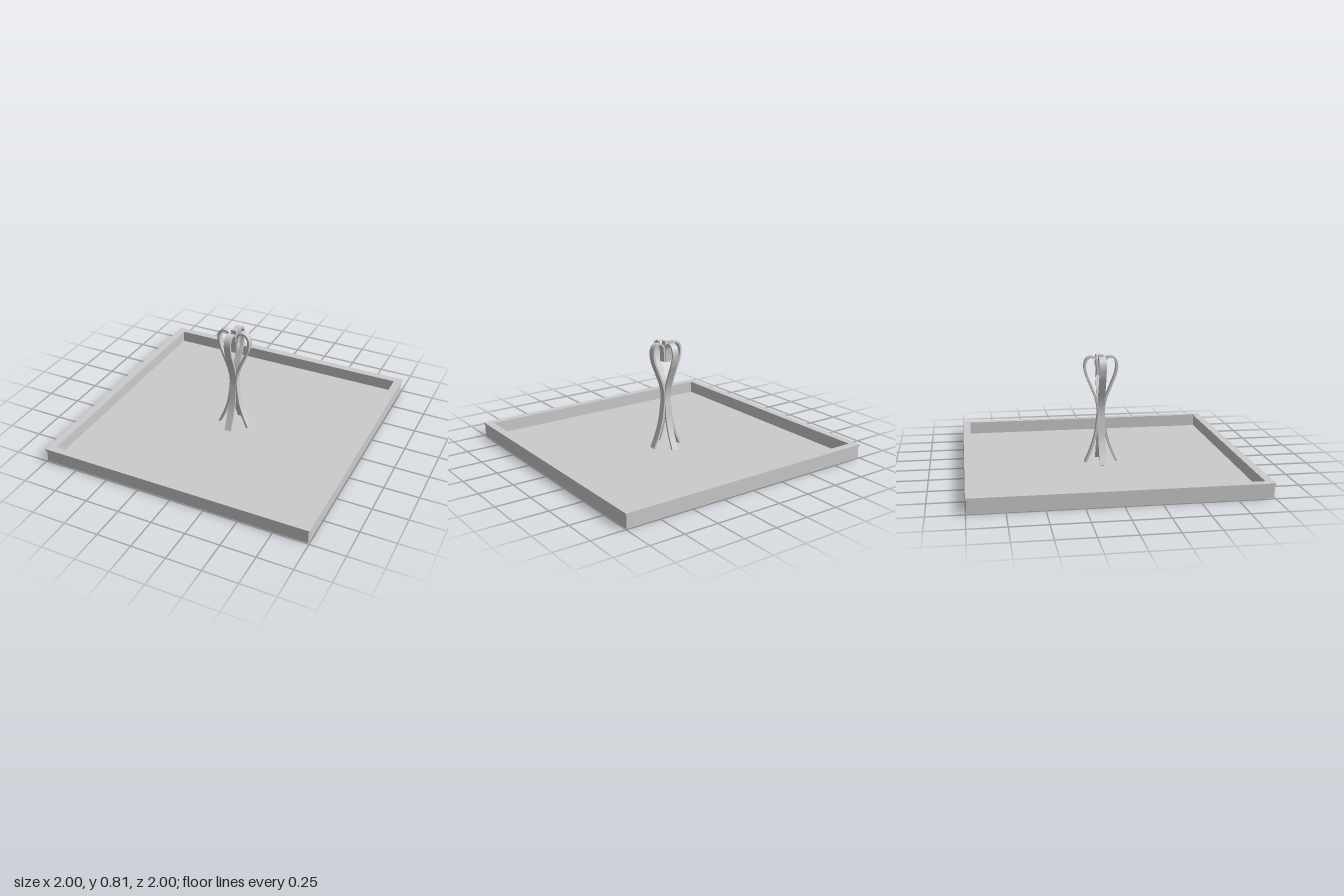
import * as THREE from 'three';
import { toCreasedNormals } from 'three/addons/utils/BufferGeometryUtils.js';

const material = new THREE.MeshStandardMaterial({ color: 0xcccccc });

function addMesh(parent, name, geometry) {
  const mesh = new THREE.Mesh(geometry, material);
  mesh.name = name;
  parent.add(mesh);
  return mesh;
}

// Square frame with an open middle, standing from y0 to y1
function frame(outer, inner, y0, y1) {
  const square = (Type, r) => new Type([[-r, -r], [r, -r], [r, r], [-r, r]].map(p => new THREE.Vector2(...p)));
  const shape = square(THREE.Shape, outer);
  shape.holes.push(square(THREE.Path, inner));
  const geometry = new THREE.ExtrudeGeometry(shape, { depth: y1 - y0, bevelEnabled: false });
  return geometry.rotateX(-Math.PI / 2).translate(0, y0, 0);
}

// Flat strip of constant thickness following a curve in the xy plane
function ribbon(points, thickness, width, steps) {
  const curve = new THREE.CatmullRomCurve3(points.map(([x, y]) => new THREE.Vector3(x, y, 0)));
  const sideA = [], sideB = [];
  for (let i = 0; i <= steps; i++) {
    const p = curve.getPointAt(i / steps);
    const t = curve.getTangentAt(i / steps);
    const nx = -t.y * thickness / 2, ny = t.x * thickness / 2;
    sideA.push(new THREE.Vector2(p.x + nx, p.y + ny));
    sideB.unshift(new THREE.Vector2(p.x - nx, p.y - ny));
  }
  const shape = new THREE.Shape([...sideA, ...sideB]);
  const geometry = new THREE.ExtrudeGeometry(shape, { depth: width, bevelEnabled: false });
  return toCreasedNormals(geometry.translate(0, 0, -width / 2), 0.7);
}

export function createModel() {
  const model = new THREE.Group();
  model.name = 'fountain';

  // Shallow square basin with an overhanging rim
  const basin = new THREE.Group();
  basin.name = 'basin';
  model.add(basin);
  addMesh(basin, 'basinFloor', new THREE.BoxGeometry(1.96, 0.01, 1.96).translate(0, 0.005, 0));
  addMesh(basin, 'basinWall', frame(0.992, 0.952, 0, 0.092));
  addMesh(basin, 'basinRim', frame(1, 0.943, 0.092, 0.105));

  // Four curved strips: splayed feet, pinched waist, looped heads
  const sculpture = new THREE.Group();
  sculpture.name = 'sculpture';
  model.add(sculpture);
  const path = [
    [0.115, 0.01], [0.076, 0.1], [0.044, 0.2], [0.028, 0.3], [0.02, 0.4], [0.034, 0.48],
    [0.073, 0.58], [0.108, 0.67], [0.117, 0.74], [0.1, 0.782], [0.065, 0.796],
    [0.037, 0.78], [0.027, 0.74], [0.023, 0.66],
  ];
  const strip = ribbon(path, 0.015, 0.05, 56);
  for (let i = 0; i < 4; i++) {
    addMesh(sculpture, 'curvedStrip' + (i + 1), strip).rotation.y = i * Math.PI / 2;
  }

  // Square nozzle held between the inner ends of the strips
  addMesh(sculpture, 'nozzle', new THREE.BoxGeometry(0.036, 0.15, 0.036).translate(0, 0.735, 0));

  return model;
}
